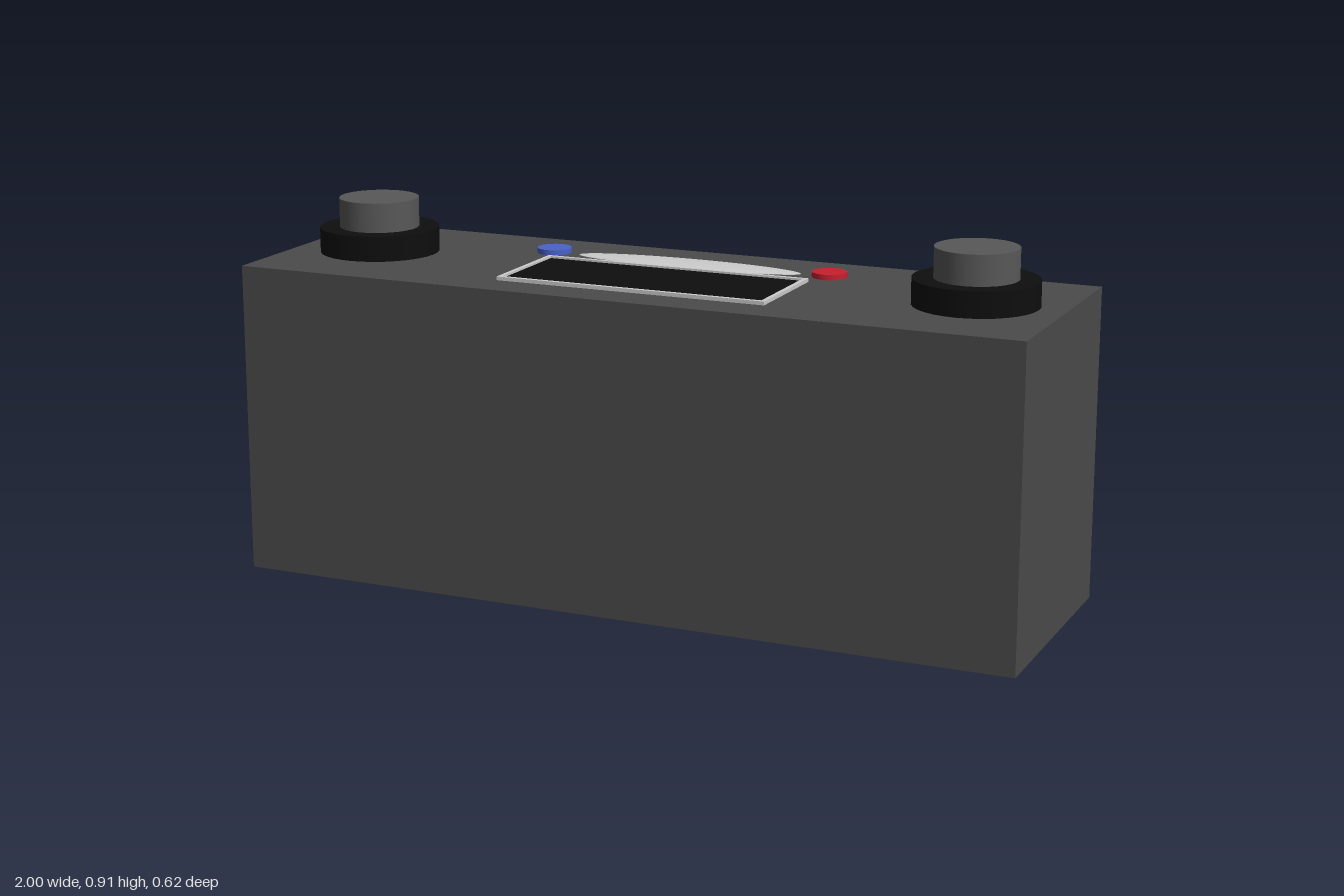
import * as THREE from 'three';

const TOP = 0.777; // height of the body's top face

export function createModel() {
  const group = new THREE.Group();
  const mat = (color) => new THREE.MeshStandardMaterial({ color });
  const bodyMat = mat(0x4b4b4b), black = mat(0x0e0e0e), knobMat = mat(0x585858);
  const silver = mat(0xc4c4c4);

  const add = (name, geometry, material, x, y, z, parent = group) => {
    const mesh = new THREE.Mesh(geometry, material);
    mesh.name = name;
    mesh.position.set(x, y, z);
    parent.add(mesh);
    return mesh;
  };
  // Upright disc standing on height y
  const disc = (name, r, h, material, x, y, z, parent) =>
    add(name, new THREE.CylinderGeometry(r, r, h, 32), material, x, y + h / 2, z, parent);

  // Main case
  add('body', new THREE.BoxGeometry(2, TOP, 0.62), bodyMat, 0, TOP / 2, 0);

  // Stepped knobs at both ends
  for (const side of [-1, 1]) {
    const knob = new THREE.Group();
    knob.name = side > 0 ? 'leftKnob' : 'rightKnob';
    knob.position.set(side * 0.786, TOP, 0);
    disc('knobBase', 0.15, 0.063, black, 0, 0, 0, knob);
    disc('knobCap', 0.1, 0.074, knobMat, 0, 0.063, 0, knob);
    group.add(knob);
  }

  // Round push buttons
  disc('blueButton', 0.043, 0.013, mat(0x4a63c8), -0.371, TOP, -0.155);
  disc('redButton', 0.043, 0.013, mat(0xc8202e), 0.368, TOP, -0.155);

  // Flattened oval button between them
  const oval = add('ovalButton', new THREE.SphereGeometry(1, 40, 24), silver, -0.004, TOP, -0.155);
  oval.scale.set(0.298, 0.008, 0.052);

  // Display window with a thin raised frame
  const w = 0.346, d = 0.142, t = 0.011;
  const rect = (P, a, b) => {
    const p = new P();
    p.moveTo(-a, -b).lineTo(a, -b).lineTo(a, b).lineTo(-a, b).closePath();
    return p;
  };
  const frameShape = rect(THREE.Shape, w, d);
  frameShape.holes.push(rect(THREE.Path, w - t, d - t));
  const frameGeo = new THREE.ExtrudeGeometry(frameShape, { depth: 0.009, bevelEnabled: false });
  frameGeo.rotateX(-Math.PI / 2);
  add('displayFrame', frameGeo, silver, -0.003, TOP, 0.065);
  add('displayScreen', new THREE.BoxGeometry(2 * (w - t), 0.004, 2 * (d - t)), black, -0.003, TOP + 0.002, 0.065);

  return group;
}
